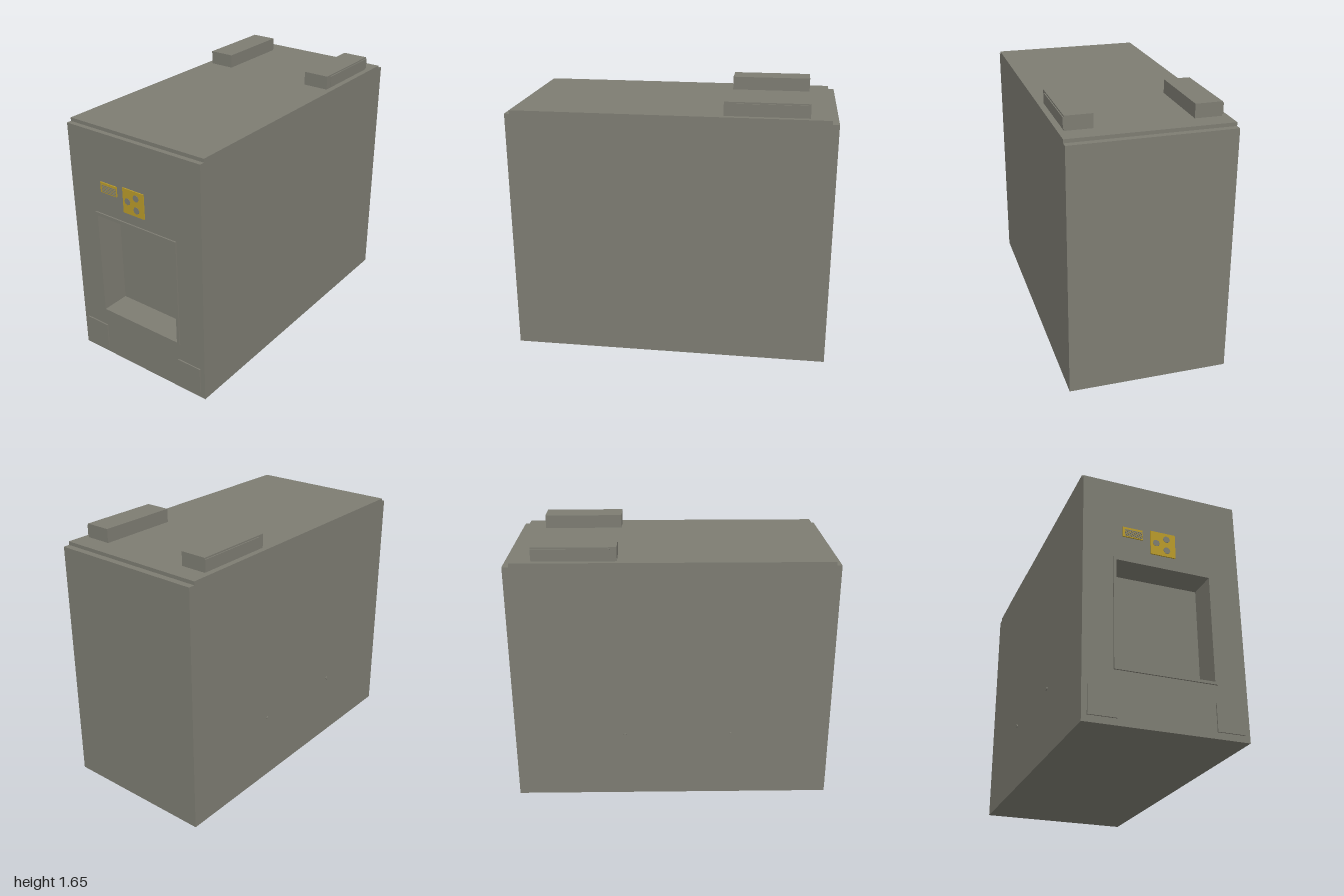
import * as THREE from 'three';

const grey = new THREE.MeshStandardMaterial({ color: 0x7d7c72 });
grey.name = 'cabinet grey';
const yellow = new THREE.MeshStandardMaterial({ color: 0xb89a2a });
yellow.name = 'label yellow';

// Box given by its minimum and maximum on each axis
function box(name, [x0, x1], [y0, y1], [z0, z1], material = grey) {
  const mesh = new THREE.Mesh(new THREE.BoxGeometry(x1 - x0, y1 - y0, z1 - z0), material);
  mesh.position.set((x0 + x1) / 2, (y0 + y1) / 2, (z0 + z1) / 2);
  mesh.name = name;
  return mesh;
}

// Rectangular slab with a rectangular opening, extruded along z
function slabWithOpening(name, x, [y0, y1], hx, [h0, h1], [z0, z1]) {
  const rect = (Type, w, a, b) => {
    const path = new Type();
    path.moveTo(-w, a);
    path.lineTo(w, a);
    path.lineTo(w, b);
    path.lineTo(-w, b);
    path.closePath();
    return path;
  };
  const shape = rect(THREE.Shape, x, y0, y1);
  shape.holes.push(rect(THREE.Path, hx, h0, h1));
  const mesh = new THREE.Mesh(
    new THREE.ExtrudeGeometry(shape, { depth: z1 - z0, bevelEnabled: false }), grey);
  mesh.position.z = z0;
  mesh.name = name;
  return mesh;
}

export function createModel() {
  const model = new THREE.Group();
  model.name = 'cabinet';
  const W = 0.492, FRONT = 0.991;

  // Cabinet: solid rear, front with a recessed bay, raised lid
  model.add(
    box('cabinetBody', [-W, W], [0, 1.545], [-1, 0.82]),
    slabWithOpening('cabinetFront', W, [0, 1.545], 0.292, [0.335, 1.003], [0.82, FRONT]),
    slabWithOpening('bayFrame', 0.31, [0.318, 1.025], 0.292, [0.335, 1.003], [FRONT, 1]),
    box('lid', [-W, W], [1.545, 1.567], [-0.96, 0.96]),
  );

  // Mirrored roof blocks with outer plates, and lower front panels
  for (const s of [-1, 1]) {
    const side = (a, b) => (s > 0 ? [a, b] : [-b, -a]);
    model.add(
      box('roofBlock', side(0.292, 0.456), [1.567, 1.652], [-0.835, -0.33]),
      box('roofBlockPlate', side(0.456, 0.462), [1.577, 1.643], [-0.835, -0.372]),
      box('lowerPanel', side(0.292, 0.46), [0.04, 0.21], [FRONT, 0.999]),
    );
  }

  // Yellow warning labels
  model.add(
    box('textLabel', [-0.25, -0.125], [1.172, 1.237], [FRONT, 0.998], yellow),
    box('warningLabel', [-0.076, 0.082], [1.092, 1.25], [FRONT, 0.998], yellow),
  );

  // Grey rows on the small label
  for (let i = 0; i < 5; i++) {
    const y = 1.178 + i * 0.0095;
    model.add(box('labelRow', [-0.238, -0.127], [y, y + 0.006], [0.998, 1]));
  }

  // Three-spot symbol on the square label
  for (let i = 0; i < 3; i++) {
    const a = Math.PI + (i * Math.PI * 2) / 3;
    const spot = new THREE.Mesh(new THREE.CylinderGeometry(0.022, 0.022, 0.002, 8), grey);
    spot.rotation.x = Math.PI / 2;
    spot.position.set(0.004 + 0.044 * Math.cos(a), 1.171 + 0.044 * Math.sin(a), 0.999);
    spot.name = 'symbolSpot';
    model.add(spot);
  }

  // Small studs on the side
  for (const z of [0.365, -0.305]) {
    const stud = new THREE.Mesh(new THREE.CylinderGeometry(0.01, 0.01, 0.008, 12), grey);
    stud.rotation.z = Math.PI / 2;
    stud.position.set(-W - 0.003, 0.43, z);
    stud.name = 'sideStud';
    model.add(stud);
  }
  return model;
}
